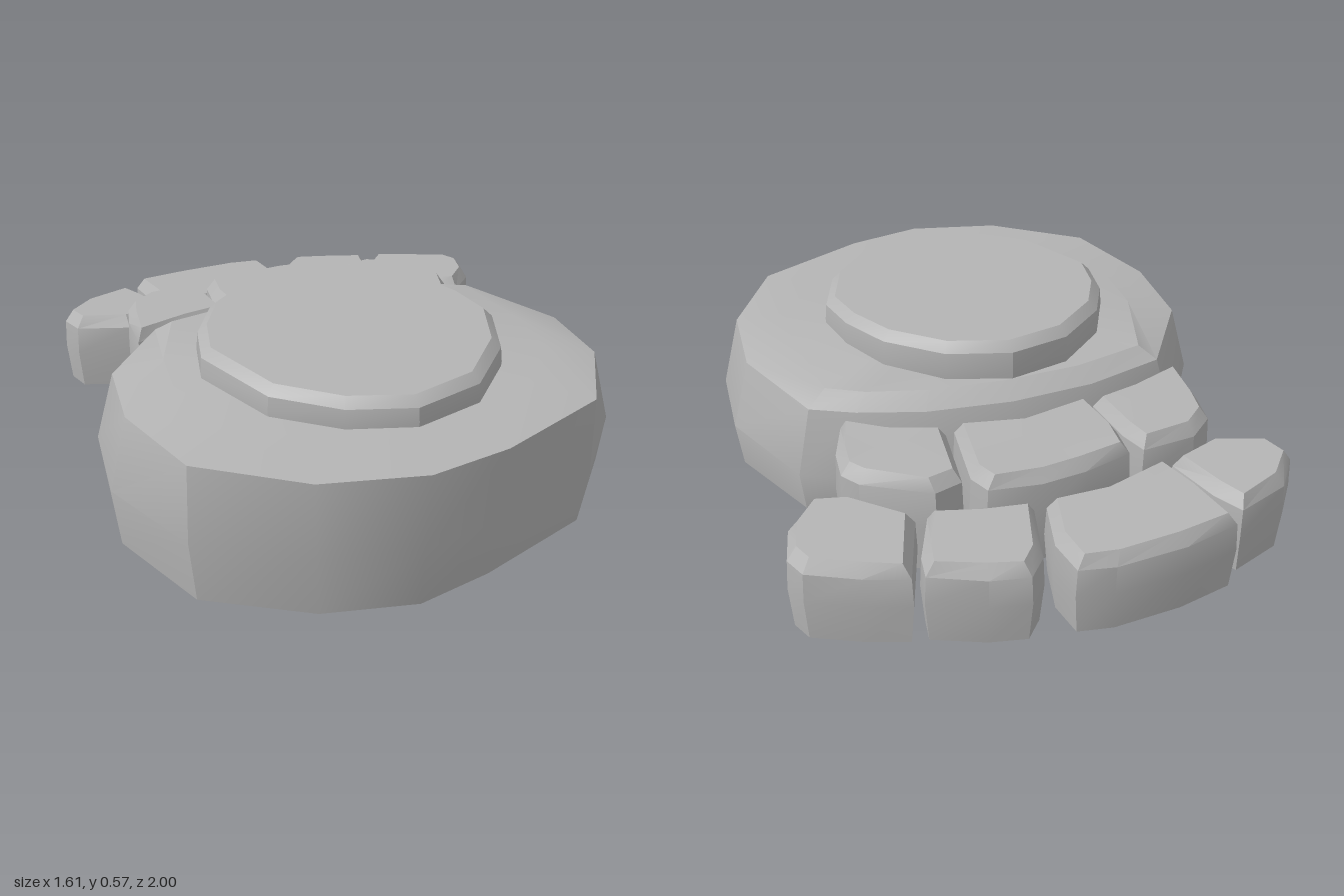
import * as THREE from 'three';
import { toCreasedNormals } from 'three/addons/utils/BufferGeometryUtils.js';

const CREASE = 0.5;

// Closed slab: an [x, z] outline is stacked in rings, bottom to top.
// Each ring is a rule (x, z) => [inset towards the centre, height].
function slab(name, material, outline, rings) {
  const area = outline.reduce((sum, [x, z], i) => {
    const [x2, z2] = outline[(i + 1) % outline.length];
    return sum + x * z2 - x2 * z;
  }, 0);
  const points = area > 0 ? [...outline].reverse() : outline;
  const n = points.length;
  const cx = points.reduce((s, p) => s + p[0], 0) / n;
  const cz = points.reduce((s, p) => s + p[1], 0) / n;

  const position = [];
  const index = [];
  for (const ring of rings) {
    for (const [x, z] of points) {
      const [inset, y] = ring(x, z);
      const k = 1 - inset / Math.hypot(x - cx, z - cz);
      position.push(cx + (x - cx) * k, y, cz + (z - cz) * k);
    }
  }
  const bottom = rings.length * n;
  const top = bottom + 1;
  position.push(cx, rings[0](cx, cz)[1], cz);
  position.push(cx, rings[rings.length - 1](cx, cz)[1], cz);

  for (let i = 0; i < n; i++) {
    const j = (i + 1) % n;
    for (let r = 0; r < rings.length - 1; r++) {
      const a = r * n + i, b = r * n + j;
      index.push(a, b, b + n, a, b + n, a + n);
    }
    index.push(bottom, j, i);
    index.push(top, (rings.length - 1) * n + i, (rings.length - 1) * n + j);
  }
  const geometry = new THREE.BufferGeometry();
  geometry.setAttribute('position', new THREE.Float32BufferAttribute(position, 3));
  geometry.setIndex(index);
  const mesh = new THREE.Mesh(toCreasedNormals(geometry, CREASE), material);
  mesh.name = name;
  return mesh;
}

export function createModel() {
  const group = new THREE.Group();
  group.name = 'stonePlatform';
  const stone = new THREE.MeshStandardMaterial({ color: 0xb4b4b4 });
  stone.name = 'grey stone';

  // Large rounded base; the front flares outwards, the sides lean in
  const front = (z) => THREE.MathUtils.smoothstep(z, 0.5, 0.95);
  const back = (z) => 1 - THREE.MathUtils.smoothstep(z, -0.3, 0.1);
  group.add(slab('base', stone, [
    [-0.06, 0.99], [0.19, 0.93], [0.57, 0.77], [0.78, 0.48], [0.8, 0.16],
    [0.66, -0.2], [0.52, -0.27], [0.3, -0.34], [0, -0.37], [-0.3, -0.34],
    [-0.58, -0.25], [-0.79, 0.07], [-0.81, 0.4], [-0.67, 0.74], [-0.36, 0.93],
  ], [
    (x, z) => [0.02 + 0.025 * front(z), 0.045 - 0.045 * z + 0.02 * x],
    (x, z) => [0.018 * front(z), 0.2],
    (x, z) => [0.06 - 0.07 * front(z), 0.415 + 0.04 * z],
    (x, z) => [0.22 - 0.1 * back(z), 0.46 - 0.015 * back(z)],
  ]));

  // Raised bevelled disc
  group.add(slab('topDisc', stone, [
    [-0.02, -0.25], [0.18, -0.19], [0.34, -0.04], [0.42, 0.13], [0.45, 0.29],
    [0.38, 0.5], [0.22, 0.69], [0, 0.765], [-0.2, 0.71], [-0.38, 0.57],
    [-0.5, 0.28], [-0.47, 0.11], [-0.39, -0.05], [-0.22, -0.2],
  ], [
    () => [0.005, 0.42],
    () => [0, 0.475],
    (x, z) => [0.005, 0.53 - 0.015 * z],
    (x, z) => [0.035, 0.56 - 0.018 * z],
  ]));

  // Bevelled step stones: upper row, then lower row
  const upper = [
    [[-0.57, -0.52], [-0.48, -0.6], [-0.3, -0.62], [-0.27, -0.53],
      [-0.25, -0.34], [-0.4, -0.29], [-0.59, -0.23], [-0.59, -0.4]],
    [[-0.26, -0.62], [-0.1, -0.67], [0.05, -0.69], [0.21, -0.67],
      [0.24, -0.6], [0.21, -0.35], [0, -0.37], [-0.24, -0.33], [-0.27, -0.5]],
    [[0.26, -0.61], [0.35, -0.64], [0.55, -0.53], [0.59, -0.47],
      [0.58, -0.36], [0.53, -0.22], [0.4, -0.29], [0.23, -0.36]],
  ];
  const lower = [
    [[-0.77, -0.69], [-0.68, -0.81], [-0.5, -0.88], [-0.45, -0.79],
      [-0.4, -0.61], [-0.56, -0.54], [-0.74, -0.6]],
    [[-0.46, -0.93], [-0.28, -0.98], [-0.05, -1], [0.06, -0.98], [0.08, -0.86],
      [0.04, -0.69], [-0.15, -0.67], [-0.38, -0.61], [-0.43, -0.75]],
    [[0.12, -0.9], [0.18, -0.97], [0.3, -0.95], [0.46, -0.88],
      [0.45, -0.8], [0.38, -0.63], [0.22, -0.66], [0.07, -0.69]],
    [[0.49, -0.88], [0.62, -0.84], [0.77, -0.77], [0.8, -0.7],
      [0.77, -0.57], [0.68, -0.47], [0.57, -0.49], [0.41, -0.64]],
  ];
  const addRow = (name, row, low, high) => row.forEach((outline, i) => {
    group.add(slab(name + (i + 1), stone, outline, [
      (x, z) => [0.012, low(z)],
      (x, z) => [0, (low(z) + high(z)) / 2],
      (x, z) => [0.005, high(z) - 0.04],
      (x, z) => [0.035, high(z)],
    ]));
  });
  addRow('upperStep', upper, () => 0.07, (z) => 0.405 + 0.035 * z);
  addRow('lowerStep', lower, (z) => 0.05 + 0.02 * z, (z) => 0.335 + 0.05 * z);
  return group;
}
